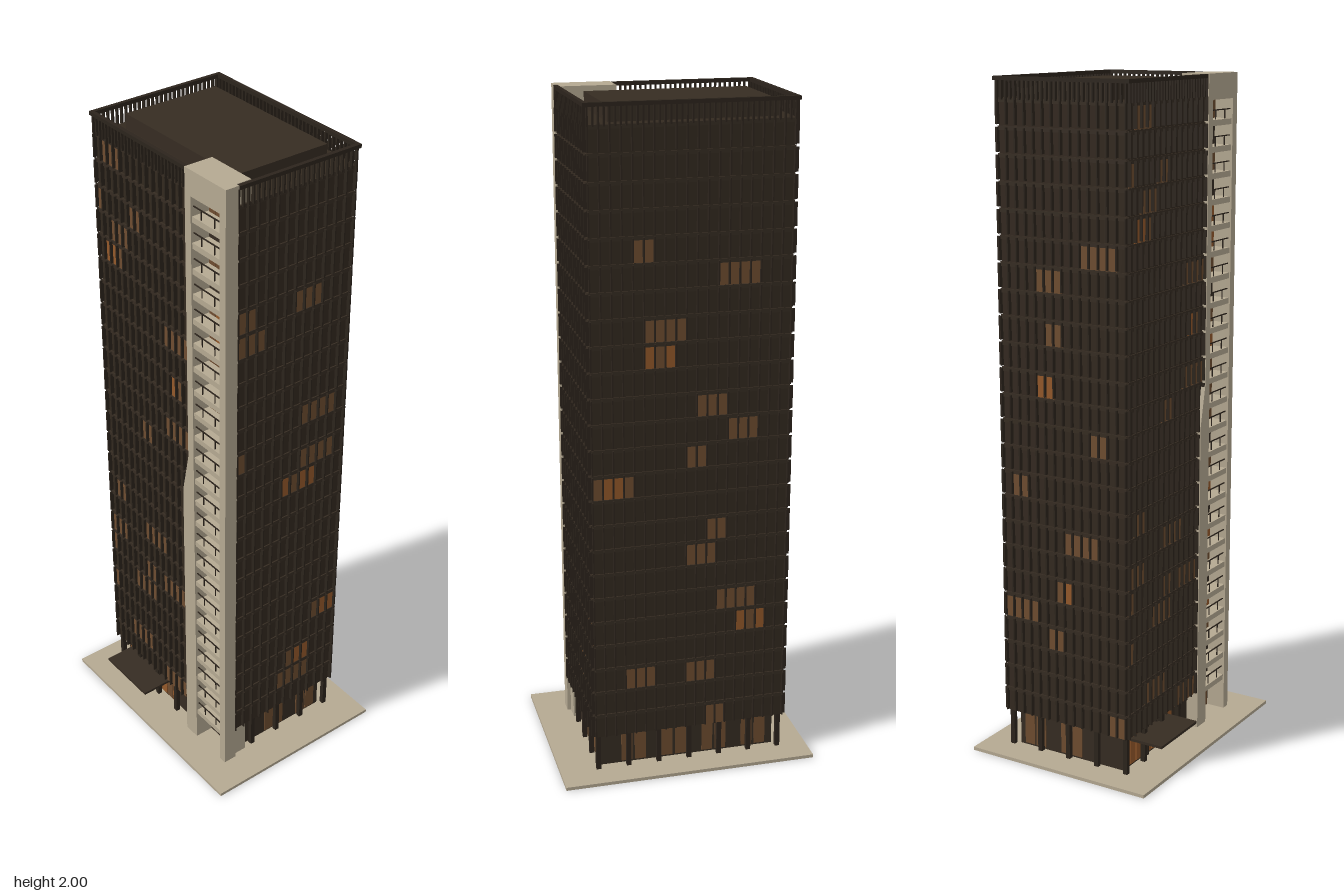
import * as THREE from 'three';
import { mergeGeometries } from 'three/addons/utils/BufferGeometryUtils.js';

const material = (name, color) => {
  const m = new THREE.MeshStandardMaterial({ color });
  m.name = name;
  return m;
};

// Box geometry given by its minimum and maximum corners
const span = (x0, x1, y0, y1, z0, z1) =>
  new THREE.BoxGeometry(x1 - x0, y1 - y0, z1 - z0)
    .translate((x0 + x1) / 2, (y0 + y1) / 2, (z0 + z1) / 2);

const BASE = 0.12, ROOF = 1.94, FLOORS = 24, STOREY = (ROOF - BASE) / FLOORS;
const FIN = 0.012; // projection of the fins

// Seeded scatter of lit windows, as [floor, bay, count, bright]
function scatter(total, bays, seed) {
  const random = () => (seed = (seed * 16807) % 2147483647) / 2147483647;
  return Array.from({ length: total }, (_, i) => {
    const count = 2 + Math.floor(random() * 3);
    const floor = Math.floor((i + random()) * 20 / total);
    return [floor, Math.floor(random() * (bays - count + 1)), count, i % 4 === 3];
  });
}

export function createModel() {
  const concrete = material('concrete', 0xb5a992);
  const bronze = material('bronze', 0x362c22);
  const finBronze = material('dark bronze', 0x2c241c);
  const glass = material('smoked glass', 0x33291f);
  const dimLight = material('dim window light', 0x6e4d30);
  const brightLight = material('bright window light', 0x94592a);

  const model = new THREE.Group();
  model.name = 'towerBlock';
  const add = (name, mat, boxes, parent = model) => {
    const mesh = new THREE.Mesh(mergeGeometries(boxes), mat);
    mesh.name = name;
    parent.add(mesh);
  };

  // Ground slab, recessed lobby and L-shaped tower body
  add('groundSlab', concrete, [span(-0.385, 0.385, 0, 0.01, -0.3, 0.3)]);
  add('lobby', bronze, [
    span(-0.283, 0.258, 0.01, BASE, -0.195, 0.12),
    span(-0.283, 0.12, 0.01, BASE, 0.12, 0.17),
  ]);
  add('towerBody', glass, [
    span(-0.303, 0.278, BASE, ROOF, -0.223, 0.12),
    span(-0.303, 0.117, BASE, ROOF, 0.12, 0.195),
    span(0.266, 0.278, BASE, ROOF, 0.12, 0.167),
  ]);
  add('roofPlant', bronze, [span(-0.268, 0.212, ROOF, 1.985, -0.185, 0.12)]);

  // Lit windows of the two main sides
  const frontLit = [[23, 1, 3], [21, 0, 1], [21, 5, 2], [20, 2, 3], [19, 1, 3, 1], [17, 10, 4],
    [15, 11, 2, 1], [13, 10, 4], [12, 6, 2], [8, 1, 2], [7, 6, 4], [6, 0, 3], [5, 0, 1],
    [5, 6, 2], [5, 9, 4], [4, 4, 4], [3, 0, 1], [1, 3, 4], [0, 9, 4]];
  const rightLit = [[19, 0, 2], [19, 6, 3], [18, 0, 3], [14, 7, 4], [13, 0, 1], [12, 7, 4],
    [11, 5, 4, 1], [4, 9, 3, 1], [2, 6, 3, 1], [1, 5, 4]];

  // Each side: start corner, quarter turns, length, bays and end extensions of the rail
  const sides = [
    { name: 'frontFacade', x: -0.303, z: 0.195, turn: 0, length: 0.42, bays: 14, e0: FIN, e1: 0, lit: frontLit },
    { name: 'rightFacade', x: 0.278, z: 0.167, turn: 1, length: 0.39, bays: 12, e0: 0, e1: FIN, lit: rightLit },
    { name: 'backFacade', x: 0.278, z: -0.223, turn: 2, length: 0.581, bays: 19, e0: FIN, e1: FIN, lit: scatter(15, 19, 71) },
    { name: 'leftFacade', x: -0.303, z: -0.223, turn: 3, length: 0.418, bays: 14, e0: FIN, e1: FIN, lit: scatter(11, 14, 929) },
  ];

  for (const side of sides) {
    const facade = new THREE.Group();
    facade.name = side.name;
    facade.position.set(side.x, 0, side.z);
    facade.rotation.y = side.turn * Math.PI / 2;
    model.add(facade);
    const pitch = side.length / side.bays;
    const fins = [], bands = [], slats = [], dim = [], bright = [];

    // Storey-high fins and spandrel bands
    for (let f = 0; f < FLOORS; f++) {
      const y = BASE + f * STOREY;
      bands.push(span(0, side.length, y + 0.064, y + STOREY, 0, 0.004));
      for (let b = 0; b <= side.bays; b++) {
        const u = b * pitch;
        fins.push(span(u - 0.002, u + 0.002, y + 0.004, y + STOREY - 0.004, 0, FIN));
      }
    }
    // Lit panes
    for (const [f, bay, count, isBright] of side.lit) {
      const y = BASE + f * STOREY;
      for (let b = bay; b < bay + count; b++) {
        (isBright && b % 3 ? bright : dim)
          .push(span(b * pitch + 0.002, (b + 1) * pitch - 0.002, y + 0.001, y + 0.064, 0, 0.003));
      }
    }
    // Open parapet of slats under a top rail
    for (let i = 0; i <= side.bays * 2; i++) {
      const u = i * pitch / 2;
      slats.push(span(u - 0.0025, u + 0.0025, ROOF - 0.004, 1.99, 0.002, FIN - 0.001));
    }
    slats.push(span(-side.e0, side.length + side.e1, 1.988, 1.999, 0, FIN));
    add('fins', finBronze, fins, facade);
    add('spandrels', bronze, bands, facade);
    add('dimWindows', dimLight, dim, facade);
    add('brightWindows', brightLight, bright, facade);
    add('parapet', finBronze, slats, facade);
  }

  // Ground-floor columns around the perimeter
  const columns = [];
  const column = (x, z) => columns.push(span(x - 0.007, x + 0.007, 0.01, BASE, z - 0.007, z + 0.007));
  for (let i = 0; i <= 6; i++) column(-0.295 + i * 0.094, -0.213);
  for (let i = 1; i <= 4; i++) {
    column(-0.295, -0.213 + i * 0.1);
    if (i < 4) column(0.269, -0.213 + i * 0.1);
  }
  for (let i = 1; i <= 3; i++) column(-0.295 + i * 0.1, 0.187);
  add('columns', finBronze, columns);

  // Lobby glazing
  const lobbyDim = [], lobbyBright = [];
  for (let i = 0; i < 9; i++) {
    const x = -0.275 + i * 0.03;
    (i % 4 === 3 ? lobbyDim : lobbyBright).push(span(x, x + 0.026, 0.016, 0.112, 0.17, 0.173));
  }
  for (const z of [0.01, -0.03, -0.12, -0.16]) {
    lobbyDim.push(span(0.258, 0.261, 0.016, 0.112, z - 0.017, z + 0.017));
    lobbyDim.push(span(-0.286, -0.283, 0.016, 0.112, z - 0.017, z + 0.017));
  }
  for (let i = 0; i < 12; i++) {
    if (i % 3 === 2) continue;
    const x = -0.26 + i * 0.042;
    lobbyDim.push(span(x, x + 0.034, 0.016, 0.112, -0.198, -0.195));
  }
  add('lobbyDimGlazing', dimLight, lobbyDim);
  add('lobbyBrightGlazing', brightLight, lobbyBright);
  add('entranceDoorFrame', finBronze, [span(-0.158, -0.15, 0.01, BASE, 0.17, 0.178)]);
  add('canopy', bronze, [span(-0.25, -0.042, 0.092, 0.1, 0.17, 0.28)]);

  // Concrete stair core: tapered left pier, right pier, cap and landings
  const pier = new THREE.Shape([[0.09, 0.01], [0.142, 0.01], [0.142, 2], [0.117, 2], [0.117, 1.1], [0.09, 0.97]]
    .map(([x, y]) => new THREE.Vector2(x, y)));
  add('taperedPier', concrete, [
    new THREE.ExtrudeGeometry(pier, { depth: 0.089, bevelEnabled: false }).translate(0, 0, 0.12),
  ]);
  add('rightPier', concrete, [
    span(0.262, 0.288, 0.01, 2, 0.167, 0.209),
    span(0.262, 0.277, 0.01, 2, 0.12, 0.167),
  ]);
  add('coreCap', concrete, [span(0.142, 0.262, 1.926, 2, 0.12, 0.209)]);
  add('stairBackWall', bronze, [span(0.142, 0.262, 0.01, 1.926, 0.12, 0.15)]);

  const landings = [], rails = [], stairDim = [], stairBright = [];
  const darkFloors = [0, 1, 4, 7, 10, 16, 20, 22];
  const brightFloors = [3, 6, 8, 14, 18, 19];
  for (let f = 0; f < FLOORS; f++) {
    const y = BASE + f * STOREY;
    landings.push(span(0.142, 0.262, y - 0.013, y + 0.004, 0.15, 0.205));
    rails.push(span(0.142, 0.262, y + 0.03, y + 0.033, 0.198, 0.201));
    for (const x of [0.175, 0.23]) rails.push(span(x - 0.001, x + 0.001, y + 0.004, y + 0.03, 0.198, 0.201));
    if (darkFloors.includes(f)) continue;
    for (let i = 0; i < 4; i++) {
      const x = 0.145 + i * 0.029;
      (brightFloors.includes(f) && i % 2 ? stairBright : stairDim)
        .push(span(x, x + 0.027, y + 0.004, y + 0.06, 0.15, 0.153));
    }
  }
  stairDim.push(span(0.195, 0.255, 0.014, 0.1, 0.15, 0.153));
  add('landings', concrete, landings);
  add('landingRails', finBronze, rails);
  add('stairDimWindows', dimLight, stairDim);
  add('stairBrightWindows', brightLight, stairBright);

  return model;
}
